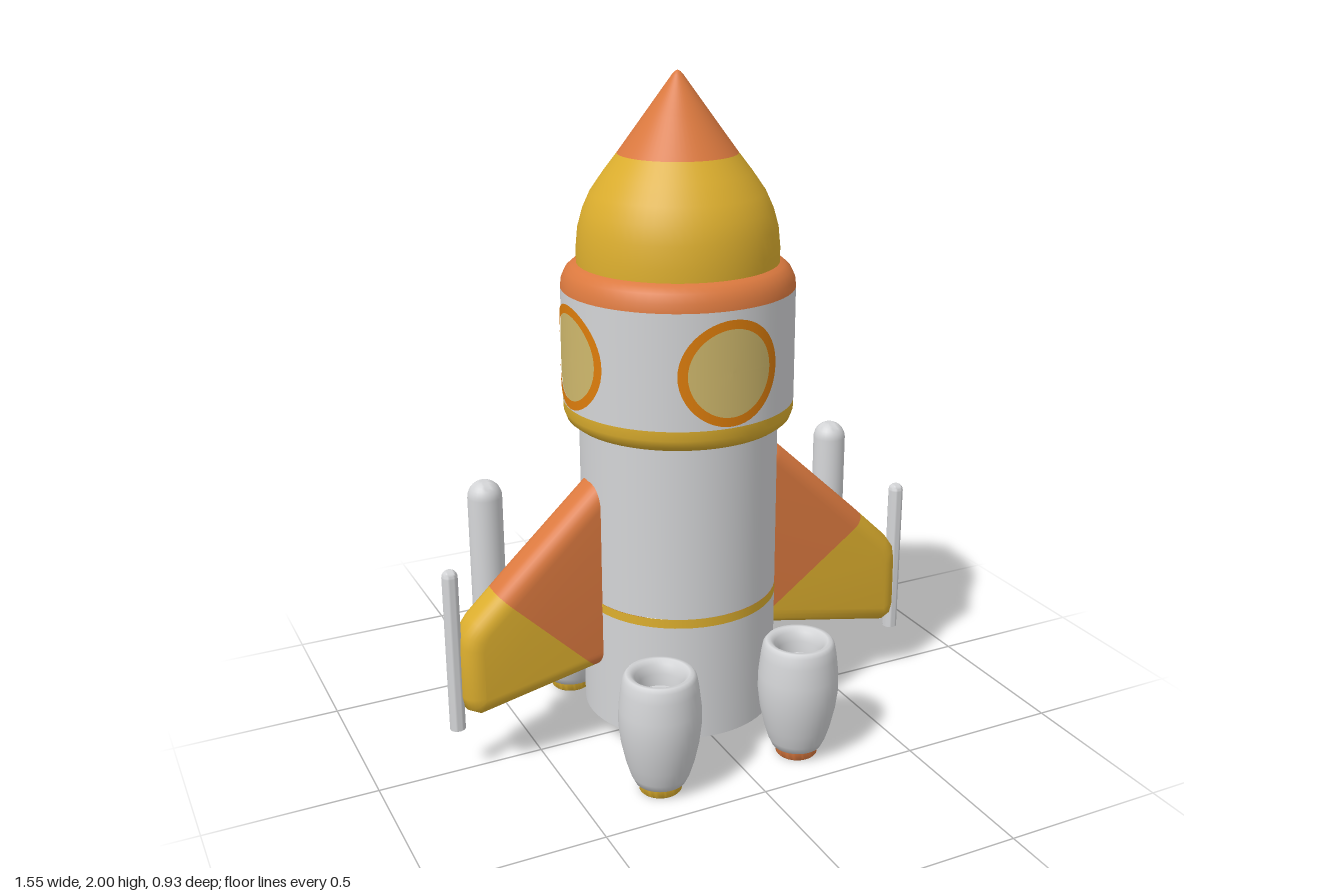
import * as THREE from 'three';
import { toCreasedNormals } from 'three/addons/utils/BufferGeometryUtils.js';

const CX = -0.035; // hull axis

const mat = (name, color) => {
  const m = new THREE.MeshStandardMaterial({ color });
  m.name = name;
  return m;
};

// Turned part; profile runs bottom to top
const lathe = (pts, seg = 64) =>
  new THREE.LatheGeometry(pts.map(([r, y]) => new THREE.Vector2(r, y)), seg);

// Keeps the part of a geometry where a*x + b*y + c*z + d >= 0
function clip(geo, [a, b, c, d]) {
  const g = geo.index ? geo.toNonIndexed() : geo;
  const P = g.attributes.position, N = g.attributes.normal, pos = [], nor = [];
  const read = (i) => ({
    p: new THREE.Vector3().fromBufferAttribute(P, i),
    n: new THREE.Vector3().fromBufferAttribute(N, i),
  });
  const dist = ({ p }) => a * p.x + b * p.y + c * p.z + d;
  for (let i = 0; i < P.count; i += 3) {
    const tri = [read(i), read(i + 1), read(i + 2)], poly = [];
    tri.forEach((u, k) => {
      const v = tri[(k + 1) % 3], du = dist(u), dv = dist(v);
      if (du >= 0) poly.push(u);
      if (du >= 0 !== dv >= 0) {
        const t = du / (du - dv);
        poly.push({ p: u.p.clone().lerp(v.p, t), n: u.n.clone().lerp(v.n, t).normalize() });
      }
    });
    for (let k = 1; k + 1 < poly.length; k++)
      for (const q of [poly[0], poly[k], poly[k + 1]]) {
        pos.push(...q.p.toArray());
        nor.push(...q.n.toArray());
      }
  }
  const out = new THREE.BufferGeometry();
  out.setAttribute('position', new THREE.Float32BufferAttribute(pos, 3));
  out.setAttribute('normal', new THREE.Float32BufferAttribute(nor, 3));
  return out;
}

// Line through two points of the wing plane; positive side is up and inward
const line = ([x0, y0], [x1, y1], side) => {
  const a = (y0 - y1) * side, b = (x1 - x0) * side;
  return [a, b, 0, -a * x0 - b * y0];
};

// Pillow-edged wing; side = 1 for +x, -1 for -x
function wingGeometry(side) {
  const pts = [[0.15, 0.88], [0.275, 0.878], [0.3, 0.865], [0.58, 0.605], [0.7, 0.49], [0.728, 0.45],
    [0.735, 0.41], [0.737, 0.25], [0.727, 0.21], [0.69, 0.19], [0.15, 0.3]];
  if (side < 0) pts.reverse();
  const shape = new THREE.Shape(pts.map(([x, y]) => new THREE.Vector2(side * x - 0.005, y)));
  const geo = new THREE.ExtrudeGeometry(shape, {
    depth: 0.03, bevelThickness: 0.055, bevelSize: 0.055, bevelOffset: -0.055, bevelSegments: 7,
  });
  geo.translate(0, 0, -0.015);
  return toCreasedNormals(geo, 0.9);
}

// Round post with a flat foot and domed top
function postGeometry(r, y0, y1) {
  const pts = [[0, y0], [r, y0], [r, y0], [r, y1 - r]];
  for (let i = 1; i <= 8; i++) {
    const t = (i / 8) * Math.PI / 2;
    pts.push([Math.max(0, r * Math.cos(t)), y1 - r + r * Math.sin(t)]);
  }
  return toCreasedNormals(lathe(pts, 24), 0.9);
}

// Disc or ring laid on the cabin wall
function wallRing(inner, outer, R) {
  const geo = new THREE.RingGeometry(inner, outer, 48, 8);
  const p = geo.attributes.position;
  for (let i = 0; i < p.count; i++) p.setZ(i, Math.sqrt(R * R - p.getX(i) ** 2));
  geo.computeVertexNormals();
  return geo;
}

export function createModel() {
  const model = new THREE.Group();
  model.name = 'rocket';
  const white = mat('hull white', 0xd3d4d6);
  const orange = mat('trim orange', 0xdb793f);
  const yellow = mat('trim yellow', 0xdcae2e);
  const rim = mat('window rim orange', 0xdd7d0c);
  const glass = mat('window glass', 0xcfb86c);

  const add = (name, geo, material, x = 0, y = 0, z = 0, parent = model) => {
    const mesh = new THREE.Mesh(geo, material);
    mesh.name = name;
    mesh.position.set(x, y, z);
    parent.add(mesh);
    return mesh;
  };

  // Hull, cabin and nose, stacked along the axis
  const stack = [
    ['hullBase', white, [[0, 0.09], [0.292, 0.09]]],
    ['lowerHull', white, [[0.292, 0.09], [0.292, 0.452]]],
    ['hullStripe', yellow, [[0.293, 0.452], [0.293, 0.48]]],
    ['upperHull', white, [[0.292, 0.48], [0.292, 1.02]]],
    ['cabinLowerRim', yellow, [[0.285, 1.0], [0.31, 1.004], [0.328, 1.018], [0.336, 1.04], [0.337, 1.068]]],
    ['cabinWall', white, [[0.337, 1.068], [0.337, 1.4]]],
    ['cabinUpperRim', orange, [[0.337, 1.4], [0.334, 1.425], [0.322, 1.45], [0.305, 1.465], [0.288, 1.472]]],
    ['noseDome', yellow, [[0.29, 1.47], [0.29, 1.51], [0.284, 1.57], [0.27, 1.62], [0.248, 1.668], [0.21, 1.723], [0.17, 1.775]]],
    ['noseTip', orange, [[0.17, 1.775], [0.09, 1.885], [0.016, 1.987], [0.008, 1.996], [0, 2]]],
  ];
  for (const [name, material, pts] of stack) add(name, lathe(pts), material, CX);

  // Four round windows
  for (let i = 0; i < 4; i++) {
    const win = new THREE.Group();
    win.name = 'window';
    win.position.set(CX, 1.225, 0);
    win.rotation.y = (i * Math.PI) / 2;
    add('windowGlass', wallRing(0, 0.127, 0.339), glass, 0, 0, 0, win);
    add('windowRim', wallRing(0.125, 0.151, 0.341), rim, 0, 0, 0, win);
    model.add(win);
  }

  // Wings: orange root and yellow outer panel
  const leftFront = line([0.595, 0.585], [0.26, 0.345], -1);
  const leftBack = line([0.59, 0.595], [0.41, 0.24], -1);
  const right = line([-0.62, 0.55], [-0.37, 0.305], 1);
  const flip = (plane) => plane.map((v) => -v);
  const wings = [['leftWing', 1, leftFront, leftBack], ['rightWing', -1, right, right]];
  for (const [name, side, front, back] of wings) {
    const geo = wingGeometry(side);
    for (const [half, zs, plane] of [['Front', 1, front], ['Back', -1, back]]) {
      const face = clip(geo, [0, 0, zs, 0]);
      add(name + half + 'Root', clip(face, plane), orange);
      add(name + half + 'Panel', clip(face, flip(plane)), yellow);
    }
  }

  // Posts on the wings
  for (const s of [1, -1]) {
    add('wingTipPost', postGeometry(0.023, 0.142, 0.65), white, -0.003 + s * 0.752);
    add('rearPost', postGeometry(0.05, 0.36, 0.865), white, -0.033 + s * 0.578, 0, -0.09);
  }

  // Four engine pods with hollow tops and coloured nozzles
  const podProfile = [[0.055, 0.03], [0.075, 0.032], [0.086, 0.055], [0.1, 0.1], [0.113, 0.16], [0.12, 0.22],
    [0.119, 0.27], [0.112, 0.33], [0.106, 0.362], [0.097, 0.374], [0.085, 0.374], [0.072, 0.362],
    [0.063, 0.335], [0.06, 0.3]];
  const nozzleProfile = [[0.046, 0.02], [0.046, 0.004], [0.05, 0], [0.058, 0], [0.062, 0.004], [0.062, 0.034]];
  for (const sx of [1, -1]) for (const sz of [1, -1]) {
    const pod = new THREE.Group();
    pod.name = 'enginePod';
    pod.position.set(CX + sx * 0.227, 0, sz * 0.345);
    add('podShell', lathe(podProfile, 40), white, 0, 0, 0, pod);
    add('podFloor', new THREE.CircleGeometry(0.06, 40).rotateX(-Math.PI / 2), white, 0, 0.3, 0, pod);
    add('nozzleRing', toCreasedNormals(lathe(nozzleProfile, 40), 0.8), sx > 0 ? orange : yellow, 0, 0, 0, pod);
    add('nozzleCore', new THREE.CircleGeometry(0.047, 40).rotateX(Math.PI / 2), white, 0, 0.006, 0, pod);
    model.add(pod);
  }
  return model;
}
